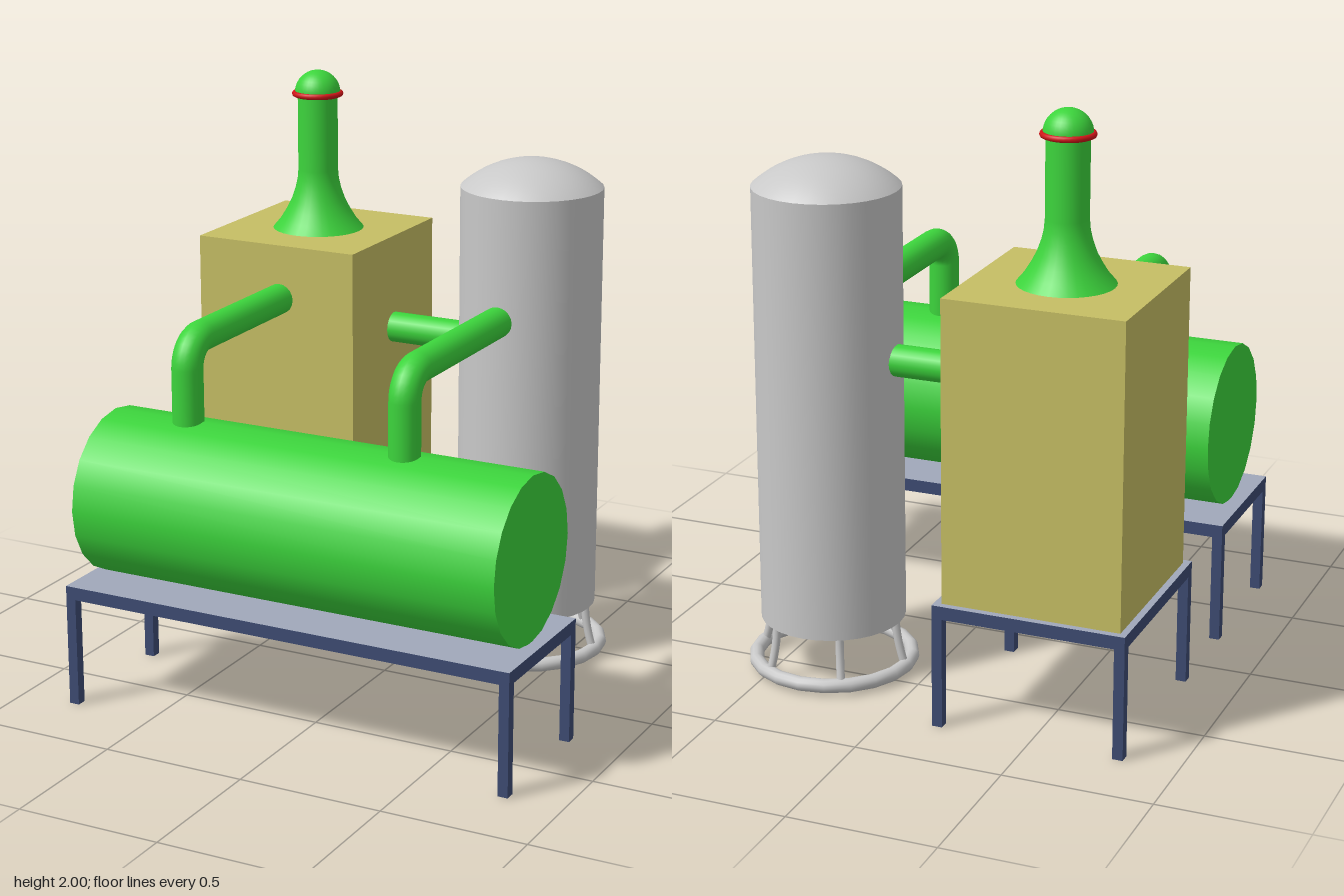
import * as THREE from 'three';

const mat = (name, color) => {
  const m = new THREE.MeshStandardMaterial({ color });
  m.name = name;
  return m;
};

export function createModel() {
  const green = mat('green', 0x3cd43c);
  const khaki = mat('khaki', 0xc6be64);
  const silver = mat('silver', 0xc8c8c8);
  const navy = mat('navy', 0x3d4b72);
  const plate = mat('plateGrey', 0xa0a8ba);
  const red = mat('red', 0xd01418);

  const root = new THREE.Group();
  root.name = 'processPlant';

  const add = (parent, name, geometry, material, x = 0, y = 0, z = 0) => {
    const mesh = new THREE.Mesh(geometry, material);
    mesh.name = name;
    mesh.position.set(x, y, z);
    parent.add(mesh);
    return mesh;
  };
  const group = (name, x = 0, y = 0, z = 0) => {
    const g = new THREE.Group();
    g.name = name;
    g.position.set(x, y, z);
    root.add(g);
    return g;
  };
  const lathe = (points, segments) =>
    new THREE.LatheGeometry(points.map(([r, y]) => new THREE.Vector2(r, y)), segments);

  // Tables: grey top and underside, navy rim, four square legs
  const table = (name, x0, x1, z0, z1) => {
    const g = group(name, (x0 + x1) / 2, 0, (z0 + z1) / 2);
    const w = x1 - x0, d = z1 - z0, leg = 0.035;
    add(g, 'tableTop', new THREE.BoxGeometry(w, 0.045, d),
      [navy, navy, plate, plate, navy, navy], 0, 0.4, 0);
    for (const sx of [-1, 1]) for (const sz of [-1, 1]) {
      add(g, 'tableLeg', new THREE.BoxGeometry(leg, 0.378, leg), navy,
        sx * (w - leg) / 2, 0.189, sz * (d - leg) / 2);
    }
  };
  table('frontTable', -0.817, 0.813, 0.225, 0.738);
  table('backTable', -0.817, -0.165, -0.766, -0.105);

  // Furnace box
  add(root, 'furnaceBox', new THREE.BoxGeometry(0.604, 1.018, 0.612), khaki, -0.492, 0.931, -0.436);

  // Chimney with flared foot, red ring and domed cap
  const chimney = group('chimney', -0.49, 0, -0.44);
  add(chimney, 'chimneyStack', lathe([
    [0.16, 1.44], [0.134, 1.471], [0.113, 1.505], [0.095, 1.54],
    [0.081, 1.58], [0.073, 1.615], [0.07, 1.65], [0.07, 1.92],
  ], 32), green);
  add(chimney, 'chimneyCap',
    new THREE.SphereGeometry(0.08, 32, 10, 0, Math.PI * 2, 0, Math.PI / 2), green, 0, 1.92, 0);
  add(chimney, 'capUnderside', new THREE.CircleGeometry(0.08, 32).rotateX(Math.PI / 2), green, 0, 1.919, 0);
  add(chimney, 'chimneyRing', new THREE.TorusGeometry(0.08, 0.01, 8, 32).rotateX(Math.PI / 2), red, 0, 1.918, 0);

  // Horizontal drum
  add(root, 'drum', new THREE.CylinderGeometry(0.281, 0.281, 1.533, 20).rotateZ(Math.PI / 2),
    green, 0.002, 0.701, 0.483);

  // Elbow pipes rising from the drum and running back
  const elbow = (name, x, zEnd) => {
    const v = (y, z) => new THREE.Vector3(x, y, z);
    const path = new THREE.CurvePath();
    const bend = 0.09, k = bend * 0.4477;
    path.add(new THREE.LineCurve3(v(0.93, 0.487), v(1.25 - bend, 0.487)));
    path.add(new THREE.CubicBezierCurve3(v(1.25 - bend, 0.487), v(1.25 - k, 0.487),
      v(1.25, 0.487 - k), v(1.25, 0.487 - bend)));
    path.add(new THREE.LineCurve3(v(1.25, 0.487 - bend), v(1.25, zEnd)));
    add(root, name, new THREE.TubeGeometry(path, 64, 0.053, 20), green);
  };
  elbow('furnacePipe', -0.478, -0.16);
  elbow('tankPipe', 0.323, -0.22);

  // Straight pipe between furnace and tank
  add(root, 'crossPipe', new THREE.CylinderGeometry(0.053, 0.053, 0.32, 20).rotateZ(Math.PI / 2),
    green, -0.05, 1.11, -0.441);

  // Upright tank with a shallow domed top
  const tank = group('tank', 0.336, 0, -0.44);
  const R = 0.244;
  add(tank, 'tankBody', new THREE.CylinderGeometry(R, R, 1.487, 32), silver, 0, 0.9285, 0);
  const domeH = 0.095, domeR = (R * R + domeH * domeH) / (2 * domeH);
  add(tank, 'tankDome', new THREE.SphereGeometry(domeR, 32, 10, 0, Math.PI * 2, 0, Math.asin(R / domeR)),
    silver, 0, 1.767 - domeR, 0);

  // Foot ring and six curved struts
  add(tank, 'footRing', new THREE.TorusGeometry(0.265, 0.024, 12, 20).rotateX(Math.PI / 2), silver, 0, 0.032, 0);
  for (let i = 0; i < 6; i++) {
    const a = i * Math.PI / 3;
    const p = (r, y) => new THREE.Vector3(r * Math.cos(a), y, r * Math.sin(a));
    const curve = new THREE.QuadraticBezierCurve3(p(0.228, 0.2), p(0.231, 0.12), p(0.26, 0.035));
    add(tank, 'strut', new THREE.TubeGeometry(curve, 8, 0.014, 10), silver);
  }
  return root;
}
